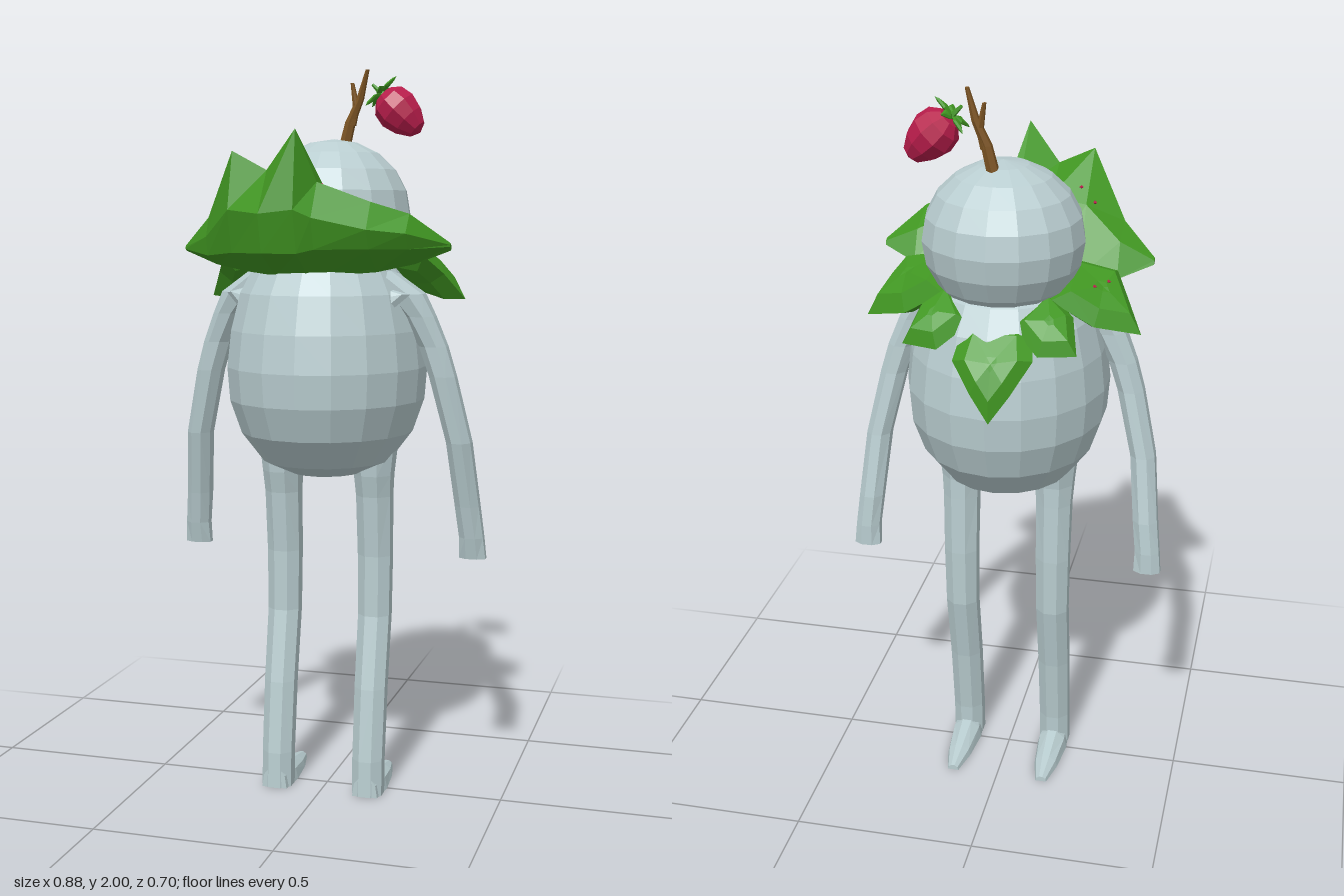
import * as THREE from 'three';

const material = (name, color) => {
  const m = new THREE.MeshStandardMaterial({ color, flatShading: true });
  m.name = name;
  return m;
};
const V = (x, y, z) => new THREE.Vector3(x, y, z);

// Closed solid through a row of rings; the winding is flipped if it comes out inside out
function loft(rings) {
  const n = rings[0].length, tris = [];
  for (let i = 0; i < rings.length - 1; i++) {
    for (let j = 0; j < n; j++) {
      const k = (j + 1) % n, [a, b] = [rings[i], rings[i + 1]];
      tris.push([a[j], a[k], b[k]], [a[j], b[k], b[j]]);
    }
  }
  const middle = r => r.reduce((s, p) => s.add(p), V(0, 0, 0)).divideScalar(n);
  const first = rings[0], last = rings[rings.length - 1];
  const c0 = middle(first), c1 = middle(last);
  for (let j = 0; j < n; j++) {
    const k = (j + 1) % n;
    tris.push([c0, first[k], first[j]], [c1, last[j], last[k]]);
  }
  const volume = tris.reduce((s, [a, b, c]) => s + a.dot(b.clone().cross(c)), 0);
  if (volume < 0) tris.forEach(t => t.reverse());
  const g = new THREE.BufferGeometry().setFromPoints(tris.flat());
  g.computeVertexNormals();
  return g;
}

// Limb from stations [x, y, z, half width, half depth]
const limb = (stations, sides, side) => loft(stations.map(([x, y, z, w, d]) =>
  Array.from({ length: sides }, (_, i) => {
    const a = (i + 0.5) / sides * Math.PI * 2;
    return V(side * (x + w * Math.cos(a)), y, z + d * Math.sin(a));
  })));

// Puffy leaf: an outline swollen on both faces
function pad(outline, thickness) {
  const pts = outline.map(p => V(...p)), n = pts.length;
  const c = pts.reduce((s, p) => s.add(p), V(0, 0, 0)).divideScalar(n);
  const normal = V(0, 0, 0);
  pts.forEach((p, i) => normal.add(p.clone().sub(c).cross(pts[(i + 1) % n].clone().sub(c))));
  normal.normalize();
  const ring = (t, h) => pts.map(p => p.clone().lerp(c, t).addScaledVector(normal, h * thickness));
  return loft([ring(0.85, 1), ring(0.35, 0.8), ring(0, 0), ring(0.35, -0.7), ring(0.85, -0.9)]);
}

export function createModel() {
  const model = new THREE.Group();
  model.name = 'berryCreature';
  const skin = material('paleBlueGrey', 0xb9cdd0);
  const green = material('leafGreen', 0x419722);
  const red = material('berryRed', 0xb81d4b);
  const brown = material('twigBrown', 0x7d5524);
  const add = (name, geometry, mat, parent = model) => {
    const mesh = new THREE.Mesh(geometry, mat);
    mesh.name = name;
    parent.add(mesh);
    return mesh;
  };

  // Egg-shaped body, a little deeper than wide
  const profile = [[0, 0.9], [0.1, 0.905], [0.175, 0.94], [0.235, 1.02], [0.266, 1.11], [0.273, 1.2],
    [0.262, 1.3], [0.237, 1.4], [0.2, 1.47], [0.13, 1.53], [0, 1.56]];
  const body = add('body', new THREE.LatheGeometry(profile.map(p => new THREE.Vector2(...p)), 18), skin);
  body.scale.z = 1.13;

  // Round head
  const head = add('head', new THREE.SphereGeometry(0.212, 16, 10), skin);
  head.position.set(0, 1.61, -0.065);
  head.scale.set(1, 0.95, 1.02);

  // Arms, legs and feet
  for (const [label, side] of [['left', 1], ['right', -1]]) {
    add(label + 'Arm', limb([
      [0.15, 1.46, 0.05, 0.05, 0.06], [0.225, 1.40, 0.045, 0.06, 0.062], [0.268, 1.34, 0.04, 0.045, 0.05],
      [0.305, 1.26, 0.033, 0.04, 0.043], [0.33, 1.18, 0.028, 0.038, 0.043], [0.372, 1.0, 0.005, 0.036, 0.044],
      [0.39, 0.82, -0.033, 0.036, 0.038], [0.4, 0.73, -0.046, 0.036, 0.032], [0.402, 0.67, -0.053, 0.04, 0.024],
    ], 8, side), skin);
    // Pointed armpit fold
    add(label + 'ShoulderFold', pad([[0.18 * side, 1.42, 0.1], [0.255 * side, 1.40, 0.1],
      [0.2 * side, 1.35, 0.13], [0.15 * side, 1.37, 0.13]], 0.02), skin);
    add(label + 'Leg', limb([
      [0.125, 1.0, -0.01, 0.075, 0.075], [0.132, 0.9, -0.008, 0.056, 0.062], [0.132, 0.84, -0.015, 0.052, 0.055],
      [0.132, 0.67, -0.026, 0.05, 0.048], [0.132, 0.5, -0.023, 0.048, 0.046], [0.132, 0.3, 0.016, 0.047, 0.046],
      [0.132, 0.1, 0.042, 0.046, 0.046], [0.132, 0, 0.046, 0.046, 0.046],
    ], 8, side), skin);
    const foot = [[0.085, 0.036, 0.06], [0.0, 0.044, 0.052], [-0.1, 0.034, 0.032], [-0.178, 0.016, 0.015]];
    add(label + 'Foot', loft(foot.map(([z, w, h]) =>
      [[-w, 0], [w, 0], [w * 0.85, h * 0.6], [w * 0.3, h], [-w * 0.3, h], [-w * 0.85, h * 0.6]]
        .map(([x, y]) => V(side * (0.132 + x), y, z)))), skin);
  }

  // Leaf collar: a raised front scoop, sections [x, then z and y pairs]
  const collar = new THREE.Group();
  collar.name = 'leafCollar';
  model.add(collar);
  const scoop = [
    [-0.37, 0.09, 1.51, 0.10, 1.51, 0.11, 1.515, 0.11, 1.52, 0.105, 1.525, 0.095, 1.52],
    [-0.28, 0.04, 1.48, 0.11, 1.475, 0.18, 1.50, 0.19, 1.55, 0.17, 1.60, 0.08, 1.57],
    [-0.18, 0.04, 1.48, 0.17, 1.46, 0.27, 1.51, 0.30, 1.62, 0.26, 1.77, 0.13, 1.65],
    [-0.08, 0.04, 1.48, 0.21, 1.45, 0.33, 1.51, 0.355, 1.61, 0.28, 1.72, 0.15, 1.66],
    [0.01, 0.04, 1.48, 0.21, 1.445, 0.32, 1.51, 0.35, 1.62, 0.325, 1.82, 0.16, 1.67],
    [0.05, 0.04, 1.48, 0.21, 1.45, 0.3, 1.52, 0.325, 1.6, 0.27, 1.69, 0.15, 1.65],
    [0.18, 0.04, 1.48, 0.16, 1.46, 0.25, 1.52, 0.275, 1.57, 0.23, 1.64, 0.12, 1.61],
    [0.27, 0.04, 1.49, 0.11, 1.48, 0.2, 1.52, 0.225, 1.56, 0.18, 1.61, 0.08, 1.57],
    [0.36, 0.08, 1.52, 0.09, 1.515, 0.1, 1.525, 0.1, 1.53, 0.095, 1.535, 0.085, 1.53],
  ];
  add('frontLeaf', loft(scoop.map(([x, ...s]) =>
    Array.from({ length: 6 }, (_, i) => V(x, s[2 * i + 1], s[2 * i])))), green, collar);
  for (const [label, s] of [['left', 1], ['right', -1]]) {
    add(label + 'SideLeaf', pad([[0.12, 1.53, 0.06], [0.28, 1.5, 0.055], [0.32, 1.45, -0.02], [0.365, 1.38, -0.09],
      [0.25, 1.41, -0.14], [0.14, 1.48, -0.16]].map(([x, y, z]) => [s * x, y, z]), 0.045), green, collar);
    add(label + 'BackLeaf', pad([[0.12, 1.49, -0.1], [0.2, 1.44, -0.16], [0.225, 1.37, -0.25],
      [0.13, 1.37, -0.275], [0.05, 1.43, -0.22]].map(([x, y, z]) => [s * x, y, z]), 0.04), green, collar);
  }
  add('rearLeaf', pad([[0.07, 1.43, -0.2], [0.085, 1.35, -0.29], [0.03, 1.28, -0.335], [-0.02, 1.21, -0.35],
    [-0.07, 1.28, -0.325], [-0.12, 1.36, -0.28], [-0.1, 1.43, -0.2]], 0.035), green, collar);

  // Tiny red specks set on the upper face of the collar
  const ray = new THREE.Raycaster();
  const leaves = [...collar.children];
  for (const [x, z] of [[-0.24, -0.08], [-0.27, -0.04], [0.17, 0.09], [0.23, 0.09], [0.17, 0.115],
    [-0.2, 0.15], [-0.16, 0.17], [0.045, 0.205]]) {
    ray.set(V(x, 3, z), V(0, -1, 0));
    const hit = ray.intersectObjects(leaves)[0];
    if (hit) add('speck', new THREE.OctahedronGeometry(0.006), red, collar).position.copy(hit.point);
  }

  // Forked twig on the crown
  const twig = (name, stations) => add(name, limb(stations, 6, 1), brown);
  twig('twig', [[0.008, 1.77, -0.125, 0.018, 0.018], [0.03, 1.86, -0.125, 0.015, 0.016],
    [0.056, 1.92, -0.128, 0.011, 0.014], [0.078, 2.0, -0.125, 0.005, 0.009]]);
  twig('twigFork', [[0.034, 1.85, -0.125, 0.012, 0.014], [0.046, 1.9, -0.127, 0.01, 0.012],
    [0.034, 1.965, -0.13, 0.005, 0.008]]);

  // Floating berry, its tip pointing down and to the left
  const berry = new THREE.Group();
  berry.name = 'berry';
  berry.position.set(0.158, 1.889, -0.17);
  berry.rotation.z = 0.8;
  model.add(berry);
  const fruit = [[0, -0.083], [0.028, -0.07], [0.05, -0.035], [0.061, 0.005], [0.054, 0.042], [0.03, 0.064], [0, 0.068]];
  add('fruit', new THREE.LatheGeometry(fruit.map(p => new THREE.Vector2(...p)), 9), red, berry);
  for (let i = 0; i < 5; i++) {
    const a = i / 5 * Math.PI * 2, c = Math.cos(a), s = Math.sin(a);
    const at = (r, w, y) => [c * r - s * w, y, s * r + c * w];
    add('calyxLeaf', pad([at(0, 0, 0.074), at(0.025, 0.015, 0.076), at(0.062, 0, 0.074), at(0.025, -0.015, 0.076)], 0.006),
      green, berry);
  }
  add('berryStem', new THREE.CylinderGeometry(0.004, 0.009, 0.04, 5), green, berry).position.y = 0.088;

  return model;
}
